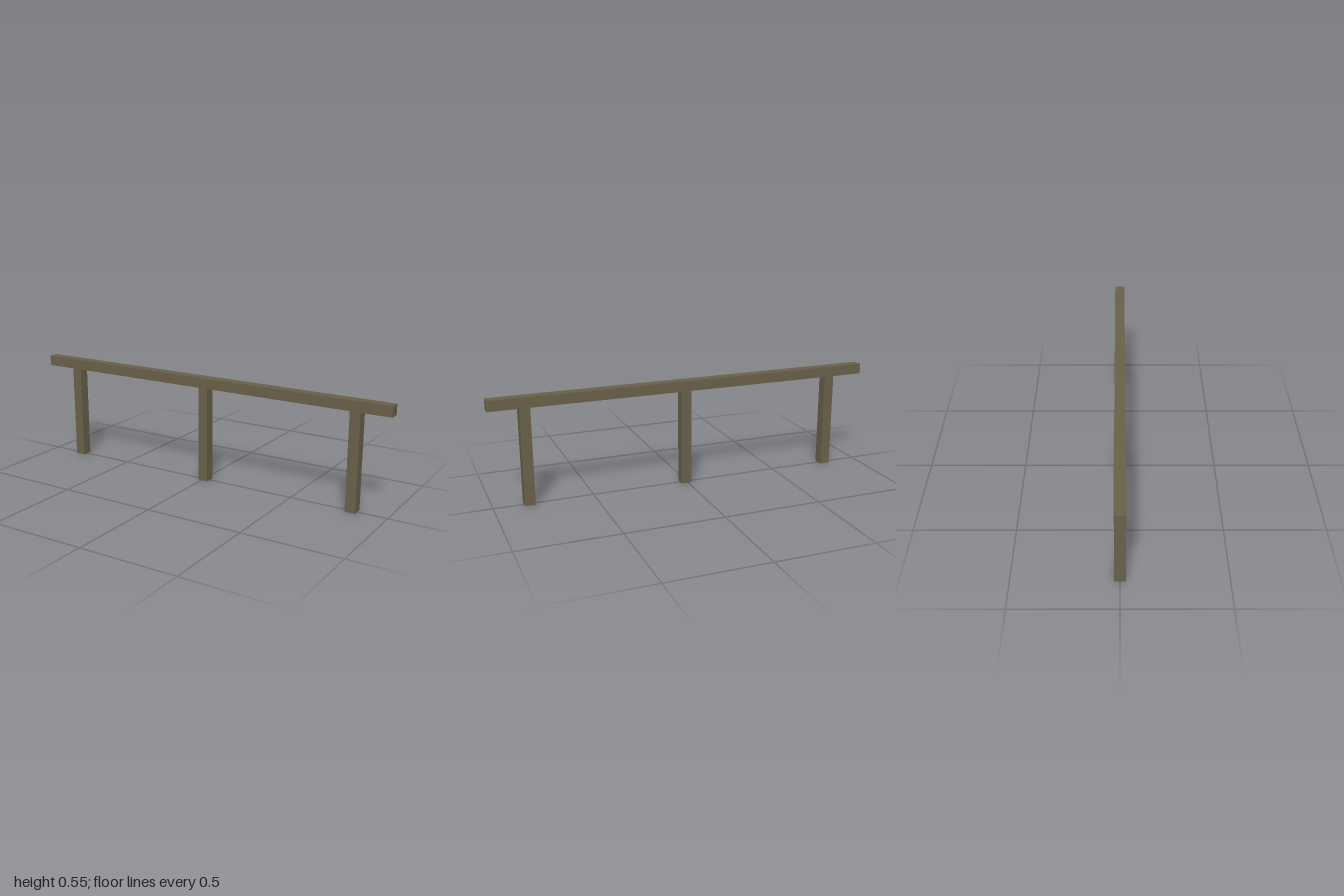
import * as THREE from 'three';

export function createModel() {
  const model = new THREE.Group();
  model.name = 'railFence';
  const wood = new THREE.MeshStandardMaterial({ color: 0x6a604a, flatShading: true, side: THREE.DoubleSide });
  wood.name = 'weatheredWood';

  const thickness = 0.053;
  const railBottom = 0.492;

  // Long horizontal rail
  const rail = new THREE.Mesh(new THREE.BoxGeometry(2, thickness, thickness), wood);
  rail.name = 'topRail';
  rail.position.y = railBottom + thickness / 2;
  model.add(rail);

  // Square posts, open at both ends
  const postGeometry = new THREE.CylinderGeometry(
    thickness / Math.SQRT2, thickness / Math.SQRT2, railBottom, 4, 1, true
  ).rotateY(Math.PI / 4);
  const posts = [
    ['rightPost', -0.81],
    ['middlePost', 0.008],
    ['leftPost', 0.824],
  ];
  for (const [name, x] of posts) {
    const post = new THREE.Mesh(postGeometry, wood);
    post.name = name;
    post.position.set(x, railBottom / 2, 0.0005);
    model.add(post);
  }
  return model;
}
